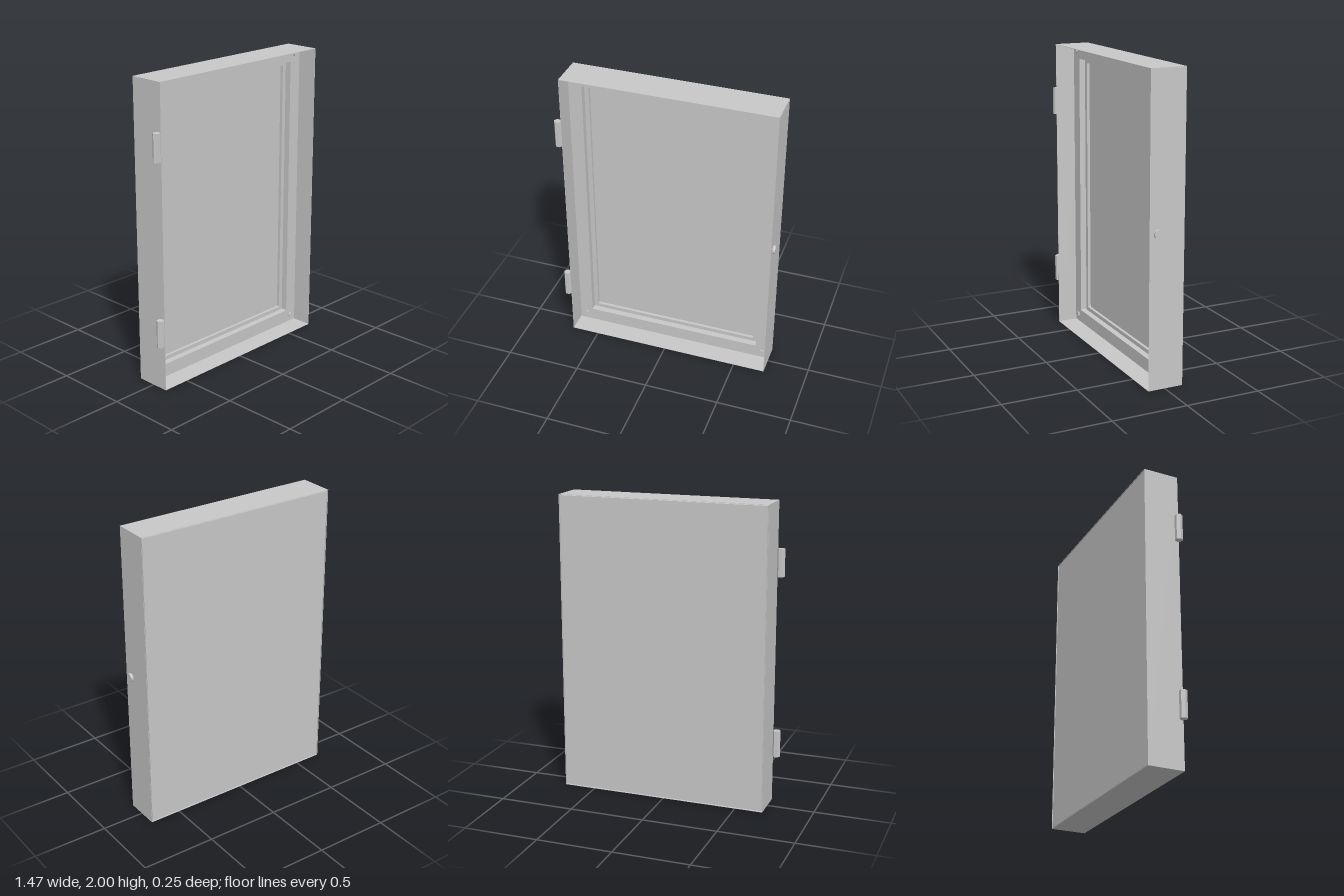
import * as THREE from 'three';

const CX = 0.014, CY = 1.0; // middle of the cabinet

// Rounded rectangle centred on the origin
function rect(Curve, hw, hh, r) {
  const s = new Curve();
  s.moveTo(-hw + r, -hh);
  s.lineTo(hw - r, -hh);
  s.quadraticCurveTo(hw, -hh, hw, -hh + r);
  s.lineTo(hw, hh - r);
  s.quadraticCurveTo(hw, hh, hw - r, hh);
  s.lineTo(-hw + r, hh);
  s.quadraticCurveTo(-hw, hh, -hw, hh - r);
  s.lineTo(-hw, -hh + r);
  s.quadraticCurveTo(-hw, -hh, -hw + r, -hh);
  return s;
}

export function createModel() {
  const group = new THREE.Group();
  const grey = new THREE.MeshStandardMaterial({ color: 0xc8c8c8 });
  grey.name = 'grey metal';
  grey.flatShading = true;

  function add(name, geometry, x, y, z) {
    const mesh = new THREE.Mesh(geometry, grey);
    mesh.name = name;
    mesh.position.set(x, y, z);
    group.add(mesh);
    return mesh;
  }

  // Thin sheet walls, open at front and back
  const z0 = -0.124, z1 = 0.114, t = 0.002;
  const depth = z1 - z0, zc = (z0 + z1) / 2;
  for (const s of [-1, 1]) {
    add('sideWall', new THREE.BoxGeometry(t, 2, depth), CX + s * (0.7 - t / 2), CY, zc);
    add(s > 0 ? 'topWall' : 'bottomWall',
      new THREE.BoxGeometry(1.4 - 2 * t, t, depth), CX, CY + s * (1 - t / 2), zc);
  }

  // Stepped door panel: flange, inner ledge and back plate
  function layer(name, back, front, hole) {
    const shape = rect(THREE.Shape, 0.693, 0.993, 0.0005);
    if (hole) shape.holes.push(rect(THREE.Path, ...hole));
    const geometry = new THREE.ExtrudeGeometry(shape,
      { depth: front - back, bevelEnabled: false, curveSegments: 4 });
    add(name, geometry, CX, CY, back);
  }
  layer('backPlate', -0.121, -0.08);
  layer('innerLedge', -0.08, -0.06, [0.574, 0.877, 0.006]);
  layer('frontFlange', -0.06, -0.018, [0.604, 0.904, 0.006]);

  // Corner screws on the flange
  for (const sx of [-1, 1]) {
    for (const sy of [-1, 1]) {
      const screw = add('cornerScrew', new THREE.CylinderGeometry(0.018, 0.018, 0.01, 12),
        CX + sx * 0.647, CY + 0.004 + sy * 0.951, -0.014);
      screw.rotation.x = Math.PI / 2;
    }
  }

  // Six-sided hinge barrels
  for (const y of [0.402, 1.607]) {
    const hinge = add('hinge', new THREE.CylinderGeometry(0.025, 0.025, 0.18, 6), -0.711, y, 0.102);
    hinge.rotation.y = Math.PI / 6;
  }

  // Round lock on the side wall
  const lock = add('lock', new THREE.CylinderGeometry(0.028, 0.028, 0.018, 24), 0.722, 1.004, 0.058);
  lock.rotation.z = Math.PI / 2;

  return group;
}
